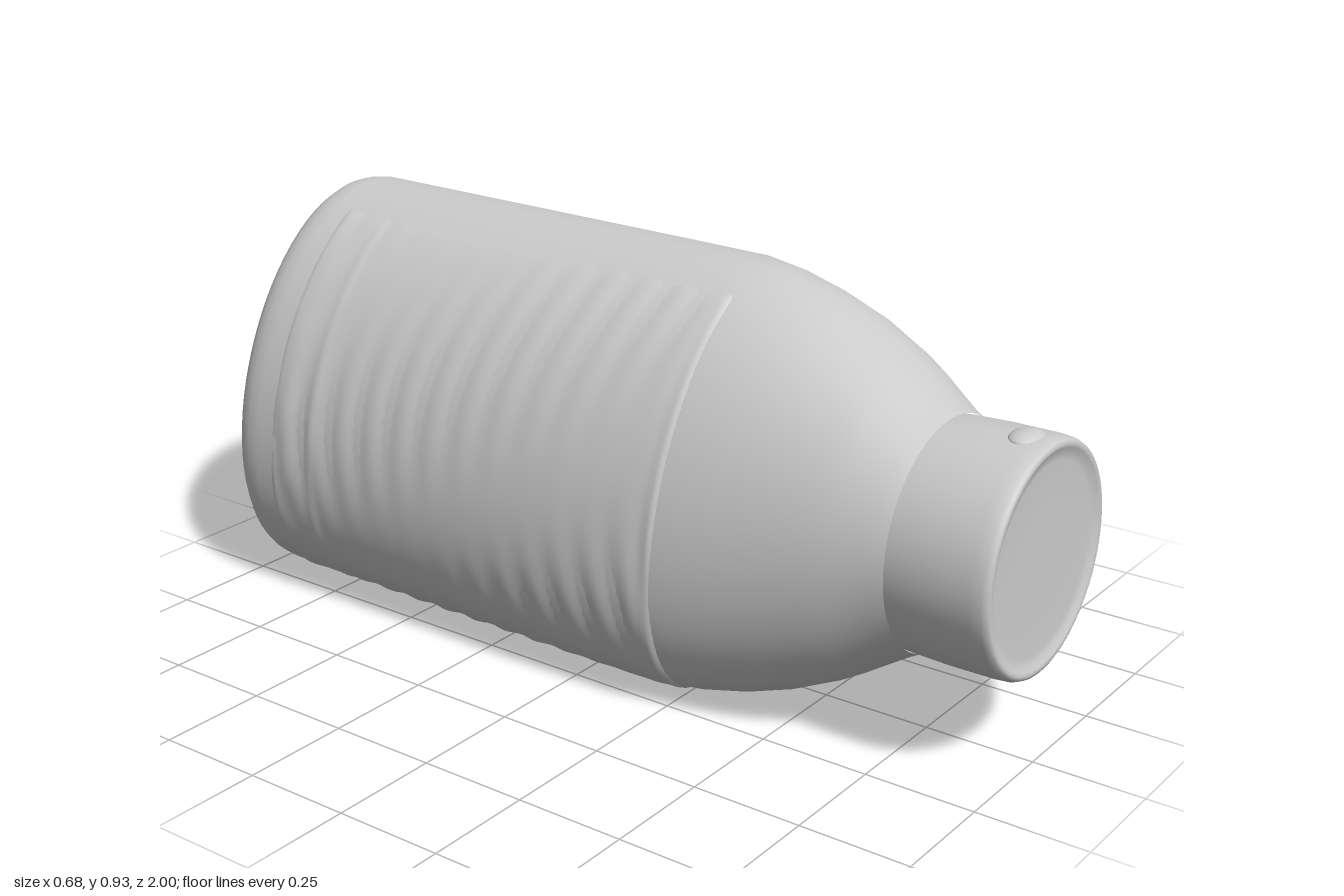
import * as THREE from 'three';

const SEGMENTS = 72;
const material = new THREE.MeshStandardMaterial({ color: 0xcccccc });
const thinMaterial = new THREE.MeshStandardMaterial({ color: 0xcccccc, side: THREE.DoubleSide });

// Body stations from shoulder to base: z, centre x, centre y, half width, half height, slant
const BODY = [
  [0.77, 0.005, 0.455, 0.253, 0.254, 0],
  [0.74, 0.006, 0.455, 0.262, 0.268, 0.03],
  [0.70, 0.009, 0.454, 0.274, 0.290, 0.08],
  [0.65, 0.011, 0.454, 0.287, 0.320, 0.14],
  [0.60, 0.012, 0.454, 0.297, 0.347, 0.19],
  [0.50, 0.010, 0.457, 0.307, 0.392, 0.26],
  [0.40, 0.006, 0.460, 0.315, 0.425, 0.30],
  [0.30, 0.003, 0.463, 0.324, 0.447, 0.33],
  [0.20, 0.001, 0.465, 0.330, 0.459, 0.35],
  [0.00, 0.000, 0.467, 0.333, 0.460, 0.35],
  [-0.40, 0.000, 0.472, 0.334, 0.460, 0.35],
  [-0.90, 0.000, 0.478, 0.335, 0.460, 0.35],
];

// Base: z and inset, rolling round the heel into the dished bottom
const BASE = [
  [-0.935, 0.004], [-0.96, 0.012], [-0.98, 0.026], [-0.993, 0.045],
  [-1.0, 0.07], [-0.997, 0.095], [-0.985, 0.125], [-0.973, 0.17], [-0.967, 0.24],
];

// Neck: z and radius, from the centre of the closed mouth back to the shoulder
const NECK = [
  [0.988, 0.001], [0.988, 0.12], [0.989, 0.205], [0.992, 0.222], [0.998, 0.232],
  [1.0, 0.24], [0.997, 0.248], [0.985, 0.253], [0.96, 0.255], [0.86, 0.255], [0.78, 0.252], [0.75, 0.25],
];

// Point on a slanted oval section
function ovalPoint([z, cx, cy, hx, hy, slant], t) {
  return new THREE.Vector3(cx + hx * Math.cos(t), cy + hy * Math.sin(t + Math.asin(slant)), z);
}

function grid(rows, columns, closed, pointAt) {
  const positions = [], index = [];
  const stride = closed ? columns : columns + 1;
  for (let i = 0; i <= rows; i++) {
    for (let j = 0; j < stride; j++) positions.push(...pointAt(i, j).toArray());
  }
  for (let i = 0; i < rows; i++) {
    for (let j = 0; j < columns; j++) {
      const a = i * stride + j, b = i * stride + ((j + 1) % stride);
      index.push(a, a + stride, b, b, a + stride, b + stride);
    }
  }
  const geometry = new THREE.BufferGeometry();
  geometry.setAttribute('position', new THREE.Float32BufferAttribute(positions, 3));
  geometry.setIndex(index);
  geometry.computeVertexNormals();
  return geometry;
}

const loft = (stations) => grid(stations.length - 1, SEGMENTS, true,
  (i, j) => ovalPoint(stations[i], (j / SEGMENTS) * Math.PI * 2));

// Body section at any z, interpolated between stations
function sectionAt(z) {
  let k = 0;
  while (k < BODY.length - 2 && BODY[k + 1][0] > z) k++;
  const f = (z - BODY[k][0]) / (BODY[k + 1][0] - BODY[k][0]);
  return BODY[k].map((v, n) => v + (BODY[k + 1][n] - v) * f);
}

// Slightly wrinkled wrap with raised bands near its ends, sunk at its border
function wrapGeometry(startDegrees, endDegrees, phase) {
  const rows = 110, columns = 36, front = 0.26, back = -0.86;
  const band = (z, at, width) => Math.exp(-(((z - at) / width) ** 2));
  return grid(rows, columns, false, (i, j) => {
    const z = front + (back - front) * (i / rows);
    const t = THREE.MathUtils.degToRad(startDegrees + (endDegrees - startDegrees) * (j / columns));
    const border = i === 0 || i === rows || j === 0 || j === columns;
    const patch = 0.5 + 0.5 * Math.sin(4 * t + 5 * z + phase);
    const wrinkle = 0.0025 * patch * Math.sin(70 * z + 2 * Math.sin(3 * t + phase));
    const ridges = 0.003 * (band(z, 0.245, 0.012) + band(z, -0.73, 0.012)) +
      0.004 * band(z, -0.82, 0.03) * (0.6 + 0.4 * Math.sin(17 * t + 40 * z));
    const lift = border ? -0.004 : 0.0015 + wrinkle + ridges;
    const section = sectionAt(z);
    section[3] += lift;
    section[4] += lift;
    return ovalPoint(section, t);
  });
}

export function createModel() {
  const model = new THREE.Group();
  model.name = 'bottle';
  const add = (name, geometry, mat = material) => {
    const mesh = new THREE.Mesh(geometry, mat);
    mesh.name = name;
    model.add(mesh);
    return mesh;
  };

  // Flattened body with shoulder and dished base
  const [, cx, cy, hx, hy, slant] = BODY[BODY.length - 1];
  const base = BASE.map(([z, inset]) => [z, cx, cy, hx - inset, hy - inset, slant]);
  base.push([-0.965, cx, cy, 0.0005, 0.0005, slant]);
  add('body', loft([...BODY, ...base]));

  // Round closed neck
  add('neck', loft(NECK.map(([z, r]) => [z, 0.005, 0.455, r, r, 0])));

  // Small bump on top of the neck
  const bump = add('neckBump', new THREE.SphereGeometry(1, 20, 12));
  bump.scale.set(0.05, 0.016, 0.035);
  bump.position.set(0.005, 0.704, 0.935);

  // Wraps on the two broad sides
  add('rightWrap', wrapGeometry(92, 250, 0), thinMaterial);
  add('leftWrap', wrapGeometry(-80, 18, 2), thinMaterial);
  return model;
}
